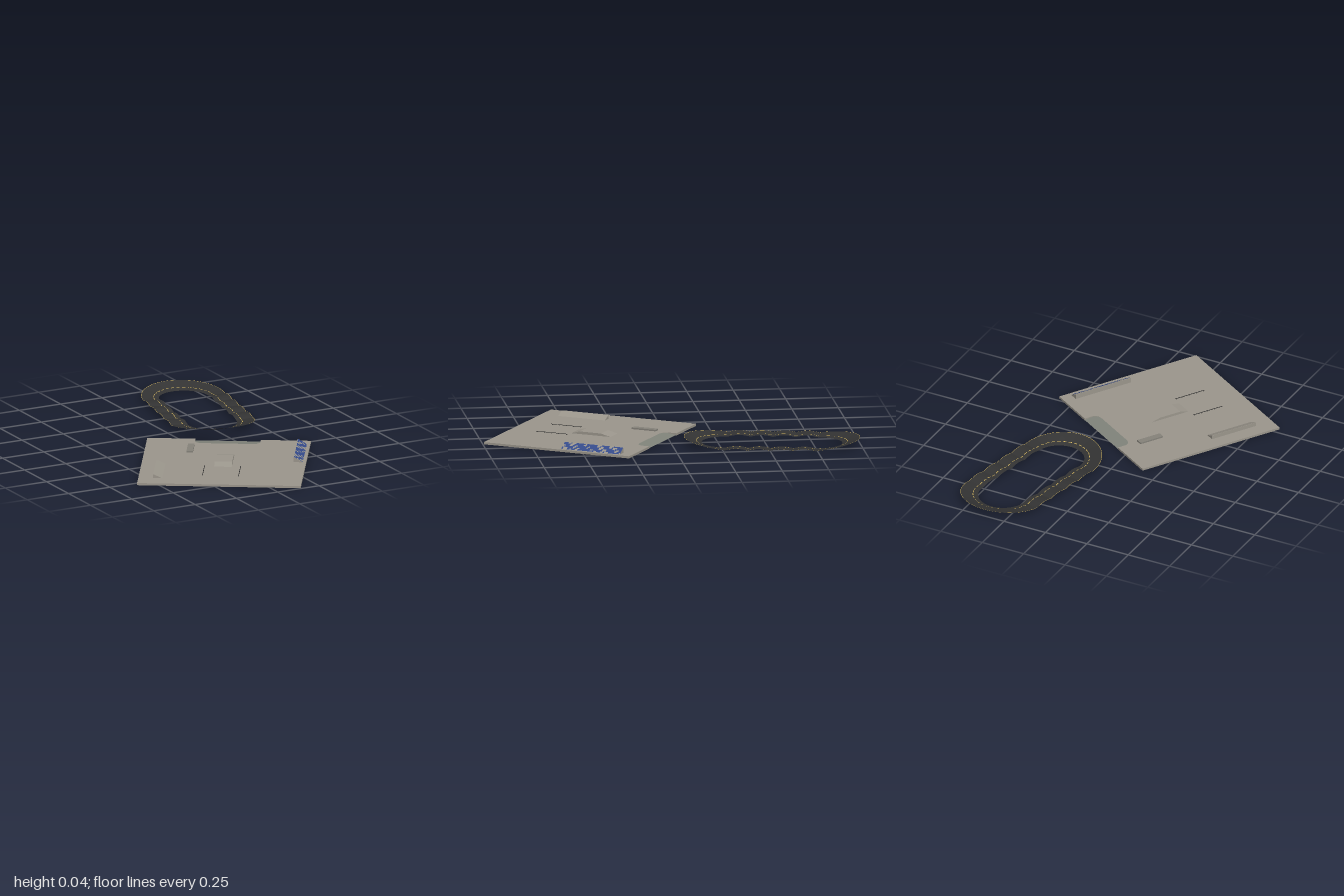
import * as THREE from 'three';

const mat = (name, color, side = THREE.DoubleSide) => {
  const m = new THREE.MeshStandardMaterial({ color, side });
  m.name = name;
  return m;
};

const PLATE_Y = 0.012;

export function createModel() {
  const concrete = mat('concrete', 0x9b968c);
  const darkConcrete = mat('dark concrete', 0x85827a);
  const bowlGrey = mat('bowl grey', 0x80837a);
  const paintBlue = mat('paint blue', 0x344a8a);
  const railBlack = mat('rail black', 0x2a2a2a);
  const asphalt = mat('asphalt', 0x333333);
  const yellow = mat('line yellow', 0xd0b25a);

  const add = (parent, name, geometry, material) => {
    const mesh = new THREE.Mesh(geometry, material);
    mesh.name = name;
    parent.add(mesh);
    return mesh;
  };

  const model = new THREE.Group();
  model.name = 'skateParkAndTrack';

  // ---------- Skate plaza ----------
  const plaza = new THREE.Group();
  plaza.name = 'skatePlaza';
  plaza.position.set(-0.008, 0, 0.403);
  plaza.rotation.y = -0.553;
  model.add(plaza);

  // Each obstacle: base rectangle, top rectangle [x0, x1, z0, z1], top height
  const obstacles = [
    ['quarterRamp', [-0.36, -0.31, 0.052, 0.325], [-0.36, -0.358, 0.052, 0.325], 0.033, concrete],
    ['paintedRamp', [0.37, 0.42, -0.362, -0.02], [0.37, 0.373, -0.362, -0.02], 0.04, concrete],
    ['funbox', [-0.047, 0.047, -0.14, 0.09], [-0.047, 0.047, -0.085, 0.04], 0.026, concrete],
    ['ledge', [-0.212, -0.177, -0.304, -0.164], [-0.212, -0.177, -0.304, -0.164], 0.02, darkConcrete],
  ];

  // Slab, notched for the bowl and open under the obstacles
  const w = 0.438, d = 0.425;
  const bowlEdge = [[-0.18, -d], [-0.18, -0.375], [-0.165, -0.352], [-0.14, -0.345],
    [0.13, -0.345], [0.155, -0.352], [0.17, -0.375], [0.17, -d]];
  const toPoints = (list) => list.map(([x, y]) => new THREE.Vector2(x, y));
  const slab = new THREE.Shape(toPoints([[-w, -d], ...bowlEdge, [w, -d], [w, d], [-w, d]]));
  for (const [, [x0, x1, z0, z1]] of obstacles) {
    slab.holes.push(new THREE.Path(toPoints([[x0, z0], [x0, z1], [x1, z1], [x1, z0]])));
  }
  const slabGeo = new THREE.ExtrudeGeometry(slab, { depth: PLATE_Y, bevelEnabled: false });
  slabGeo.rotateX(Math.PI / 2).translate(0, PLATE_Y, 0);
  add(plaza, 'slab', slabGeo, concrete);

  // Shallow bowl falling away to the back edge
  const bowlGeo = new THREE.ShapeGeometry(new THREE.Shape(toPoints(bowlEdge)));
  bowlGeo.rotateX(Math.PI / 2);
  const bp = bowlGeo.attributes.position;
  for (let i = 0; i < bp.count; i++) {
    bp.setY(i, PLATE_Y - 0.009 * (-0.345 - bp.getZ(i)) / 0.08);
  }
  bowlGeo.computeVertexNormals();
  add(plaza, 'bowl', bowlGeo, bowlGrey);

  // Hollow obstacles: a box tapered to its top rectangle, without its floor
  for (const [name, base, top, height, material] of obstacles) {
    const box = new THREE.BoxGeometry(1, 1, 1);
    const p = box.attributes.position;
    for (let i = 0; i < p.count; i++) {
      const up = p.getY(i) > 0, r = up ? top : base;
      p.setXYZ(i, p.getX(i) < 0 ? r[0] : r[1], up ? height : PLATE_Y, p.getZ(i) < 0 ? r[2] : r[3]);
    }
    const index = [...box.index.array];
    index.splice(18, 6);
    box.setIndex(index);
    const geo = box.toNonIndexed();
    geo.clearGroups();
    geo.computeVertexNormals();
    add(plaza, name, geo, material);
  }

  // Mottled blue paint over the outer ramp's slope
  const nx = 6, nz = 44;
  const paint = new THREE.PlaneGeometry(1, 1, nx, nz);
  const pp = paint.attributes.position;
  for (let i = 0; i < pp.count; i++) {
    const s = pp.getX(i) + 0.5, t = pp.getY(i) + 0.5;
    pp.setXYZ(i, 0.3735 + 0.047 * s, 0.041 - 0.028 * s, -0.02 - 0.342 * t);
  }
  const kept = [];
  for (let c = 0; c < nx * nz; c++) {
    const u = c % nx, v = Math.floor(c / nx);
    const blot = Math.sin(v * 0.62 + u * 0.9) + Math.sin(v * 1.37 - u * 1.6) + 0.7 * Math.sin(v * 0.23 + 2);
    if (blot > -0.75) kept.push(...paint.index.array.slice(c * 6, c * 6 + 6));
  }
  paint.setIndex(kept);
  paint.computeVertexNormals();
  add(plaza, 'rampPaint', paint, paintBlue);

  // Pair of grind rails on short legs
  for (const x of [-0.098, 0.095]) {
    const rail = new THREE.Group();
    rail.name = 'grindRail';
    rail.position.set(x, 0, 0.181);
    plaza.add(rail);
    add(rail, 'bar', new THREE.BoxGeometry(0.003, 0.002, 0.182), railBlack).position.y = 0.0165;
    for (let i = 0; i < 5; i++) {
      add(rail, 'leg', new THREE.BoxGeometry(0.002, 0.005, 0.002), railBlack)
        .position.set(0, 0.0135, -0.084 + i * 0.042);
    }
  }

  // ---------- Banked oval track ----------
  const track = new THREE.Group();
  track.name = 'ovalTrack';
  track.position.set(0.3325, 0, -0.5325);
  track.rotation.y = -0.177;
  model.add(track);

  const STRAIGHT = 0.4825, INNER = 0.135, OUTER = 0.23;
  const ARC = Math.PI * (INNER + OUTER) / 2, HALF = STRAIGHT + ARC;

  // Surface point at distance s round the loop and radius r
  const surface = (s, r, lift) => {
    s = ((s % (2 * HALF)) + 2 * HALF) % (2 * HALF);
    const sign = s < HALF ? 1 : -1;
    s %= HALF;
    const across = (r - INNER) / (OUTER - INNER);
    let x = r, z, y;
    if (s < STRAIGHT) {
      // rollers along the straights
      z = STRAIGHT / 2 - s;
      y = 0.008 + 0.005 * across + 0.009 * Math.abs(Math.sin(4 * Math.PI * s / STRAIGHT));
    } else {
      // banked turns
      const angle = (s - STRAIGHT) / ARC * Math.PI;
      x = r * Math.cos(angle);
      z = -STRAIGHT / 2 - r * Math.sin(angle);
      y = 0.008 + across * (0.005 + 0.027 * Math.sin(angle));
    }
    return [sign * x, y + lift, sign * z];
  };

  // Ribbons lying on the track between two radii
  const ribbon = (spans, r0, r1, lift, steps) => {
    const pos = [], idx = [];
    for (const [s0, s1] of spans) {
      const first = pos.length / 3;
      for (let i = 0; i <= steps; i++) {
        const s = s0 + (s1 - s0) * i / steps;
        pos.push(...surface(s, r0, lift), ...surface(s, r1, lift));
        if (i < steps) {
          const a = first + i * 2;
          idx.push(a, a + 1, a + 2, a + 1, a + 3, a + 2);
        }
      }
    }
    const geo = new THREE.BufferGeometry();
    geo.setAttribute('position', new THREE.Float32BufferAttribute(pos, 3));
    geo.setIndex(idx);
    geo.computeVertexNormals();
    return geo;
  };

  const loop = [[0, 2 * HALF]];
  add(track, 'roadSurface', ribbon(loop, INNER, OUTER, 0, 280), asphalt);
  add(track, 'outerLine', ribbon(loop, OUTER - 0.002, OUTER, 0.001, 280), yellow);

  const dashes = [];
  for (let i = 0; i < 60; i++) {
    const s = i / 60 * 2 * HALF;
    dashes.push([s, s + 0.022]);
  }
  add(track, 'centreDashes', ribbon(dashes, 0.161, 0.165, 0.0012, 4), yellow);

  return model;
}
